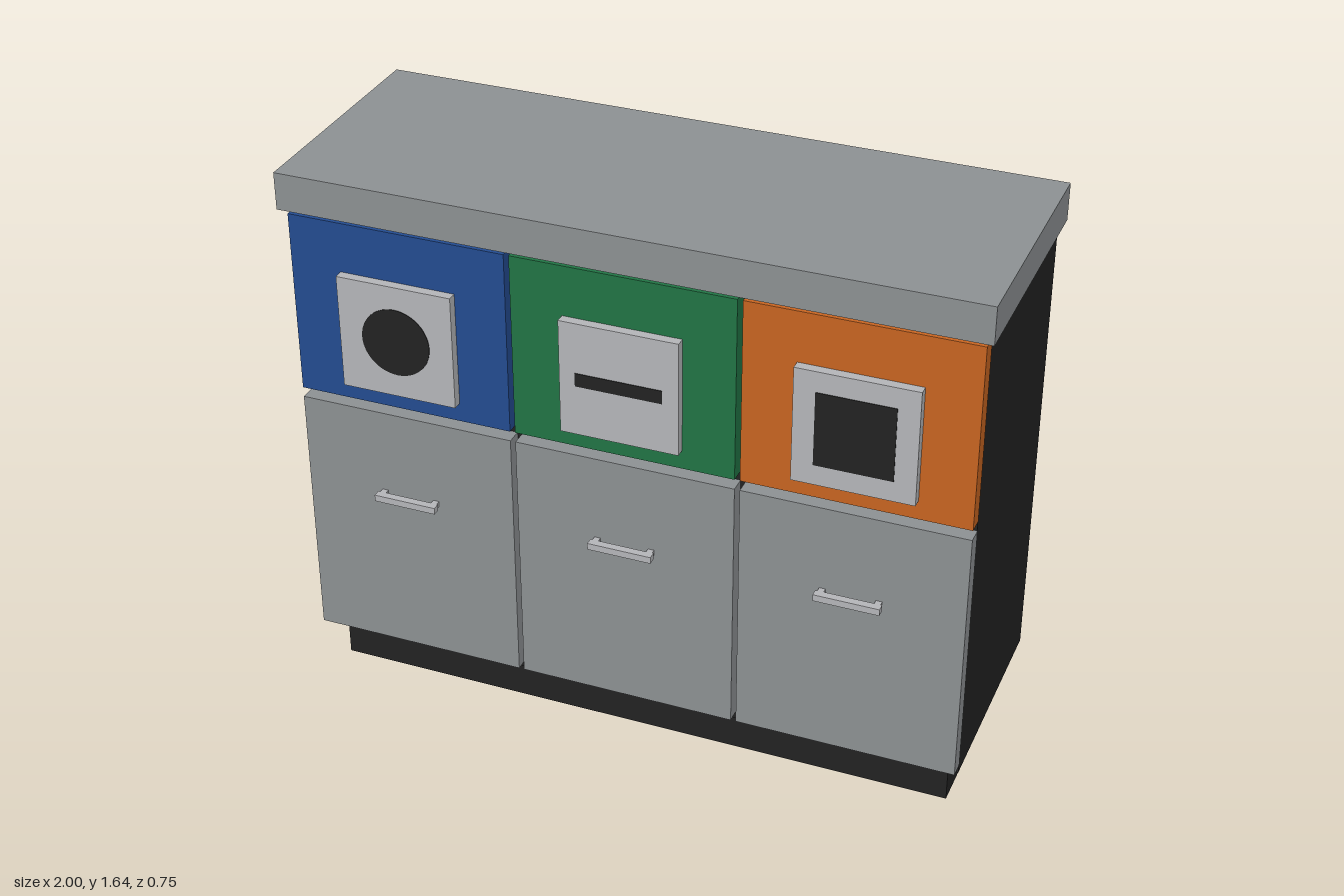
import * as THREE from 'three';

const material = (name, color) => {
  const m = new THREE.MeshStandardMaterial({ color });
  m.name = name;
  return m;
};

export function createModel() {
  const model = new THREE.Group();
  model.name = 'recyclingStation';

  const black = material('black', 0x222222);
  const grey = material('grey', 0x8c9092);
  const lightGrey = material('lightGrey', 0xb4b5b8);
  const blue = material('blue', 0x234b8f);
  const green = material('green', 0x217344);
  const orange = material('orange', 0xc66421);

  // Box given by its extents on each axis
  function box(parent, name, mat, [x0, x1], [y0, y1], [z0, z1]) {
    const mesh = new THREE.Mesh(new THREE.BoxGeometry(x1 - x0, y1 - y0, z1 - z0), mat);
    mesh.position.set((x0 + x1) / 2, (y0 + y1) / 2, (z0 + z1) / 2);
    mesh.name = name;
    parent.add(mesh);
    return mesh;
  }

  // Cabinet shell
  box(model, 'plinth', black, [-0.94, 0.94], [0, 0.13], [-0.355, 0.255]);
  box(model, 'carcass', black, [-0.977, 0.977], [0.13, 1.535], [-0.373, 0.287]);
  box(model, 'countertop', grey, [-1, 1], [1.535, 1.645], [-0.375, 0.353]);

  // Three bays, each with a coloured panel, opening plate, door and handle
  const panelFront = 0.335;
  const plateFront = 0.363;
  const openingY = 1.198;
  const bays = [
    { name: 'blueBay', x: -0.657, mat: blue, opening: 'round' },
    { name: 'greenBay', x: 0, mat: green, opening: [0.25, 0.04] },
    { name: 'orangeBay', x: 0.657, mat: orange, opening: [0.22, 0.22] },
  ];

  for (const { name, x, mat, opening } of bays) {
    const bay = new THREE.Group();
    bay.name = name;
    bay.position.x = x;
    model.add(bay);

    box(bay, 'upperPanel', mat, [-0.321, 0.321], [0.97, 1.518], [0.287, panelFront]);
    box(bay, 'door', grey, [-0.321, 0.321], [0.158, 0.94], [0.287, panelFront]);
    box(bay, 'openingPlate', lightGrey, [-0.171, 0.171], [1.027, 1.369], [panelFront, plateFront]);

    // Dark opening laid on the plate
    if (opening === 'round') {
      const disc = new THREE.Mesh(new THREE.CylinderGeometry(0.102, 0.102, 0.004, 48), black);
      disc.rotation.x = Math.PI / 2;
      disc.position.set(0, openingY, plateFront);
      disc.name = 'roundOpening';
      bay.add(disc);
    } else {
      const [w, h] = opening;
      box(bay, 'opening', black, [-w / 2, w / 2], [openingY - h / 2, openingY + h / 2],
        [plateFront - 0.002, plateFront + 0.002]);
    }

    // Bar handle on two posts
    box(bay, 'handleBar', lightGrey, [-0.094, 0.094], [0.665, 0.685], [0.352, 0.375]);
    for (const side of [-1, 1]) {
      box(bay, 'handlePost', lightGrey, [side * 0.08 - 0.009, side * 0.08 + 0.009],
        [0.667, 0.683], [panelFront, 0.352]);
    }
  }

  return model;
}
